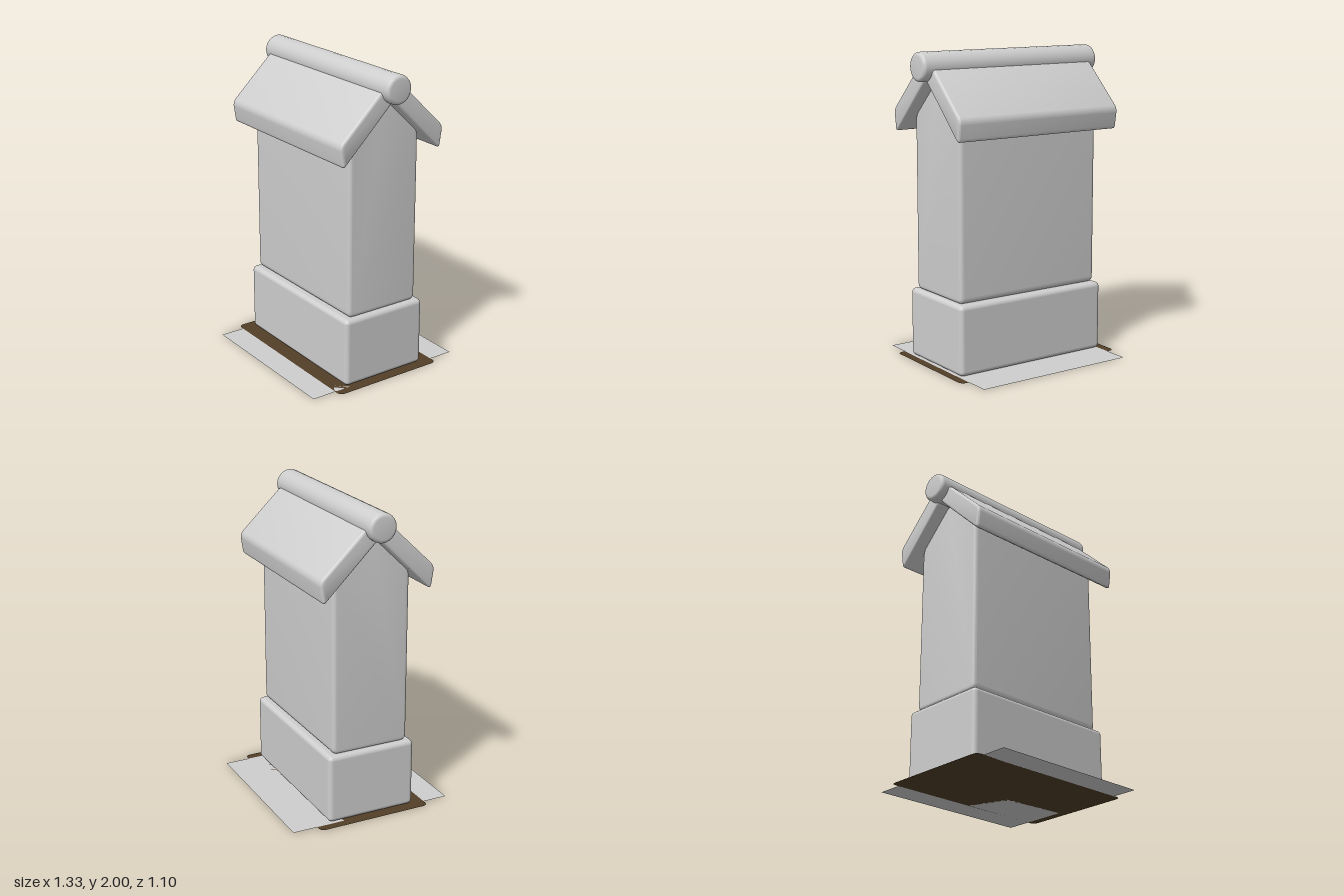
import * as THREE from 'three';
import { toCreasedNormals } from 'three/addons/utils/BufferGeometryUtils.js';
import { RoundedBoxGeometry } from 'three/addons/geometries/RoundedBoxGeometry.js';

// Outline with softened corners; points are [x, y], counter-clockwise
function roundedOutline(points, setback) {
  const shape = new THREE.Shape();
  const pts = points.map(([x, y]) => new THREE.Vector2(x, y));
  pts.forEach((p, i) => {
    const prev = pts[(i + pts.length - 1) % pts.length];
    const next = pts[(i + 1) % pts.length];
    const a = p.clone().add(prev.clone().sub(p).setLength(setback));
    const b = p.clone().add(next.clone().sub(p).setLength(setback));
    if (i === 0) shape.moveTo(a.x, a.y);
    else shape.lineTo(a.x, a.y);
    shape.quadraticCurveTo(p.x, p.y, b.x, b.y);
  });
  shape.closePath();
  return shape;
}

// Prism running along x, with soft edges all round
function softPrism(points, width, bevel, setback) {
  const g = new THREE.ExtrudeGeometry(roundedOutline(points, setback), {
    depth: width - 2 * bevel,
    curveSegments: 12,
    bevelEnabled: true,
    bevelThickness: bevel,
    bevelSize: bevel,
    bevelOffset: -bevel,
    bevelSegments: 10,
  });
  g.translate(0, 0, -(width / 2 - bevel));
  g.rotateY(Math.PI / 2);
  return toCreasedNormals(g, 0.6);
}

export function createModel() {
  const group = new THREE.Group();
  const stone = new THREE.MeshStandardMaterial({ name: 'stone grey', color: 0xcecece });
  const ground = new THREE.MeshStandardMaterial({ name: 'ground grey', color: 0xcecece, side: THREE.DoubleSide });
  const earth = new THREE.MeshStandardMaterial({ name: 'earth brown', color: 0x533f29, side: THREE.DoubleSide });

  const add = (name, geometry, material) => {
    const mesh = new THREE.Mesh(geometry, material);
    mesh.name = name;
    group.add(mesh);
    return mesh;
  };

  // Ground sheet and earth patch, both flat on the floor
  add('groundSheet', new THREE.PlaneGeometry(1.1, 1.1), ground).rotation.x = -Math.PI / 2;
  const patch = roundedOutline([[-0.605, -0.385], [0.605, -0.385], [0.605, 0.385], [-0.605, 0.385]], 0.04);
  add('earthPatch', new THREE.ShapeGeometry(patch), earth).rotation.x = -Math.PI / 2;

  // Plinth
  add('plinth', new RoundedBoxGeometry(1.1, 0.452, 0.6, 5, 0.03), stone).position.y = 0.23;

  // Gabled body
  add('body', softPrism(
    [[-0.26, 0.455], [0.26, 0.455], [0.26, 1.585], [0, 1.835], [-0.26, 1.585]],
    1.045, 0.025, 0.04), stone);

  // Two sloping roof slabs
  const slab = softPrism(
    [[0, 1.825], [0.364, 1.468], [0.387, 1.615], [0.085, 1.905]],
    1.21, 0.018, 0.034);
  add('roofSlabBack', slab, stone);
  add('roofSlabFront', slab, stone).rotation.y = Math.PI;

  // Ridge roll with rounded rims
  const R = 0.092, L = 0.663, r = 0.025;
  const profile = [new THREE.Vector2(0, -L)];
  for (let i = 0; i <= 5; i++) {
    const a = (i / 5) * Math.PI / 2;
    profile.push(new THREE.Vector2(R - r + r * Math.sin(a), -L + r - r * Math.cos(a)));
  }
  const mirrored = profile.map((p) => new THREE.Vector2(p.x, -p.y)).reverse();
  const ridge = toCreasedNormals(new THREE.LatheGeometry([...profile, ...mirrored], 24).toNonIndexed(), 0.6);
  ridge.rotateZ(Math.PI / 2);
  add('ridgeRoll', ridge, stone).position.y = 2 - R;

  return group;
}
